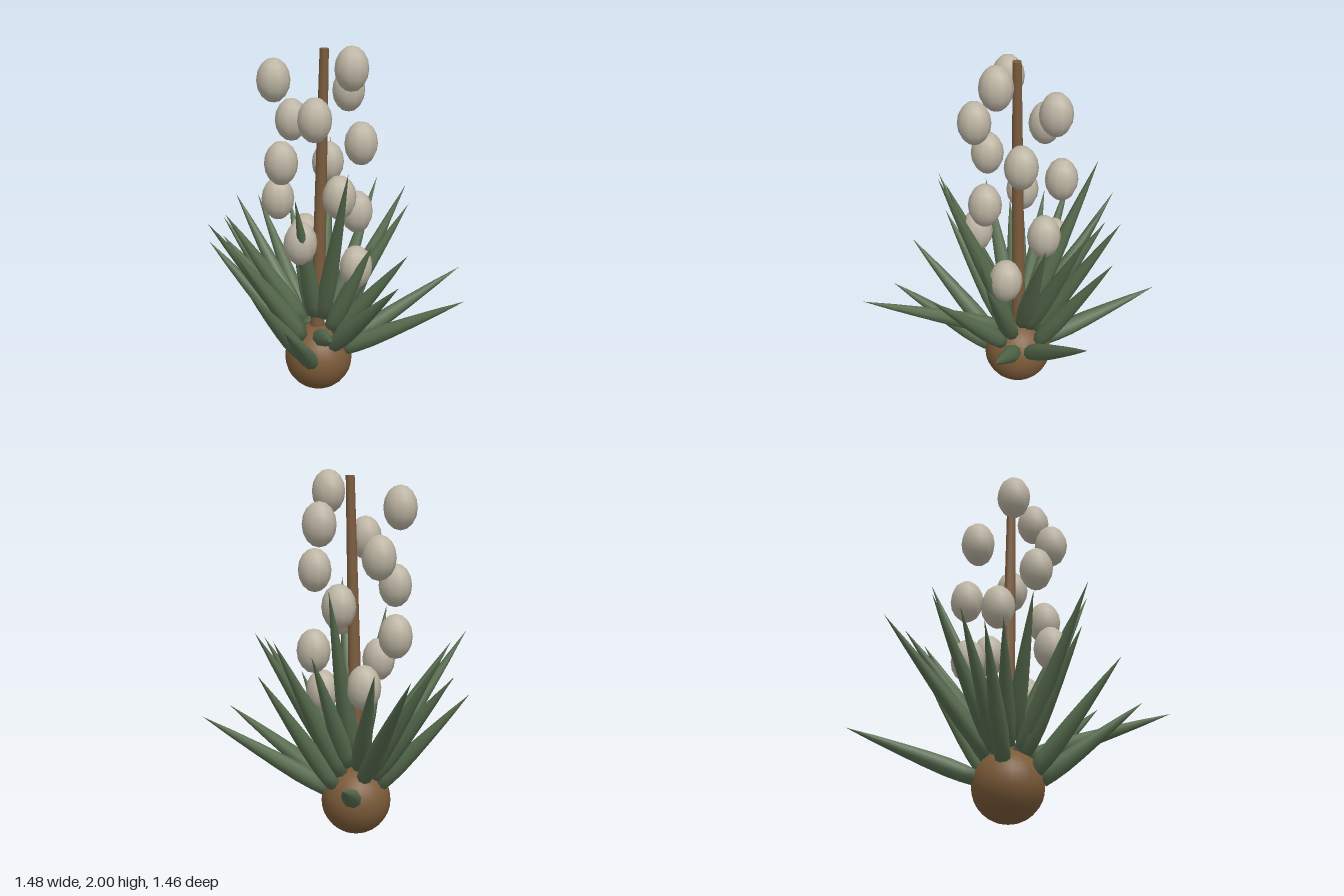
import * as THREE from 'three';

const CENTER = new THREE.Vector3(-0.095, 0.192, -0.022);
const UP = new THREE.Vector3(0, 1, 0);

// Leaves going round the plant: tip x, y, z and height of the root
const LEAVES = [
  [-0.555, 0.465, -0.73, 0.23], [-0.74, 0.97, -0.43, 0.34], [-0.52, 0.98, -0.43, 0.4],
  [-0.725, 1.04, -0.165, 0.36], [-0.715, 0.94, -0.01, 0.34], [-0.725, 0.83, 0.13, 0.29],
  [-0.6, 0.9, 0.175, 0.38], [-0.5, 1.07, 0.295, 0.42], [-0.43, 1.1, 0.565, 0.36],
  [-0.315, 0.92, 0.485, 0.34], [-0.15, 0.79, 0.635, 0.25], [0.09, 0.62, 0.665, 0.22],
  [0.39, 0.655, 0.725, 0.36], [0.265, 1.395, 0.31, 0.47], [0.535, 0.81, 0.26, 0.3],
  [0.295, 0.955, 0.08, 0.4], [0.46, 0.89, -0.01, 0.36], [0.74, 0.635, -0.145, 0.26],
  [0.33, 1.09, -0.295, 0.42], [0.535, 0.665, -0.575, 0.25], [0.225, 1.14, -0.485, 0.4],
  [0.1, 0.94, -0.605, 0.29], [-0.02, 1.13, -0.615, 0.36], [-0.175, 1.05, -0.5, 0.41],
  [-0.235, 1.385, -0.435, 0.47], [-0.015, 1.235, 0.37, 0.48],
];

export function createModel() {
  const plant = new THREE.Group();
  plant.name = 'floweringPlant';

  const material = (name, color) => {
    const m = new THREE.MeshStandardMaterial({ color });
    m.name = name;
    return m;
  };
  const bulbBrown = material('bulbBrown', 0x7b5a38);
  const stalkBrown = material('stalkBrown', 0x7a5c3d);
  const leafGreen = material('leafGreen', 0x586d4f);
  const petalCream = material('petalCream', 0xbcb4a3);

  const add = (name, geometry, mat, parent = plant) => {
    const mesh = new THREE.Mesh(geometry, mat);
    mesh.name = name;
    parent.add(mesh);
    return mesh;
  };

  // Round bulb at the foot
  add('bulb', new THREE.SphereGeometry(0.192, 24, 16), bulbBrown).position.copy(CENTER);

  // Slightly leaning flower stalk
  const foot = new THREE.Vector3(-0.105, 0.28, -0.025);
  const top = new THREE.Vector3(-0.055, 1.965, -0.025);
  const lean = top.clone().sub(foot);
  const stalk = add('stalk', new THREE.CylinderGeometry(0.025, 0.042, lean.length(), 10), stalkBrown);
  stalk.position.copy(foot).add(top).multiplyScalar(0.5);
  stalk.quaternion.setFromUnitVectors(UP, lean.normalize());

  // Spiky leaves: one closed profile from root to tip, stretched to length
  const profile = [[0, 0], [0.042, 0.005], [0.048, 0.1], [0.05, 0.22], [0.044, 0.38],
    [0.033, 0.57], [0.018, 0.79], [0, 1]].map(([r, y]) => new THREE.Vector2(r, y));
  const leafGeometry = new THREE.LatheGeometry(profile, 8);
  const leaves = new THREE.Group();
  leaves.name = 'leaves';
  plant.add(leaves);
  for (const [x, y, z, rootHeight] of LEAVES) {
    const dx = x - CENTER.x;
    const dz = z - CENTER.z;
    // Higher roots sit closer to the stalk
    const reach = (0.17 - (rootHeight - 0.22) * 0.38) / Math.hypot(dx, dz);
    const root = new THREE.Vector3(CENTER.x + dx * reach, rootHeight, CENTER.z + dz * reach);
    const along = new THREE.Vector3(x, y, z).sub(root);
    const leaf = add('leaf', leafGeometry, leafGreen, leaves);
    leaf.position.copy(root);
    leaf.scale.set(1, along.length(), 1);
    leaf.quaternion.setFromUnitVectors(UP, along.normalize());
  }

  // Egg-shaped blossoms climbing in a golden-angle spiral
  const blossomGeometry = new THREE.SphereGeometry(1, 10, 8).scale(0.092, 0.121, 0.092);
  const blossoms = new THREE.Group();
  blossoms.name = 'blossoms';
  plant.add(blossoms);
  for (let i = 0; i < 14; i++) {
    const a = THREE.MathUtils.degToRad(137.5 * i);
    add('blossom', blossomGeometry, petalCream, blossoms).position.set(
      -0.094 + 0.237 * Math.cos(a), 0.774 + 0.085 * i, -0.022 - 0.237 * Math.sin(a));
  }

  return plant;
}
